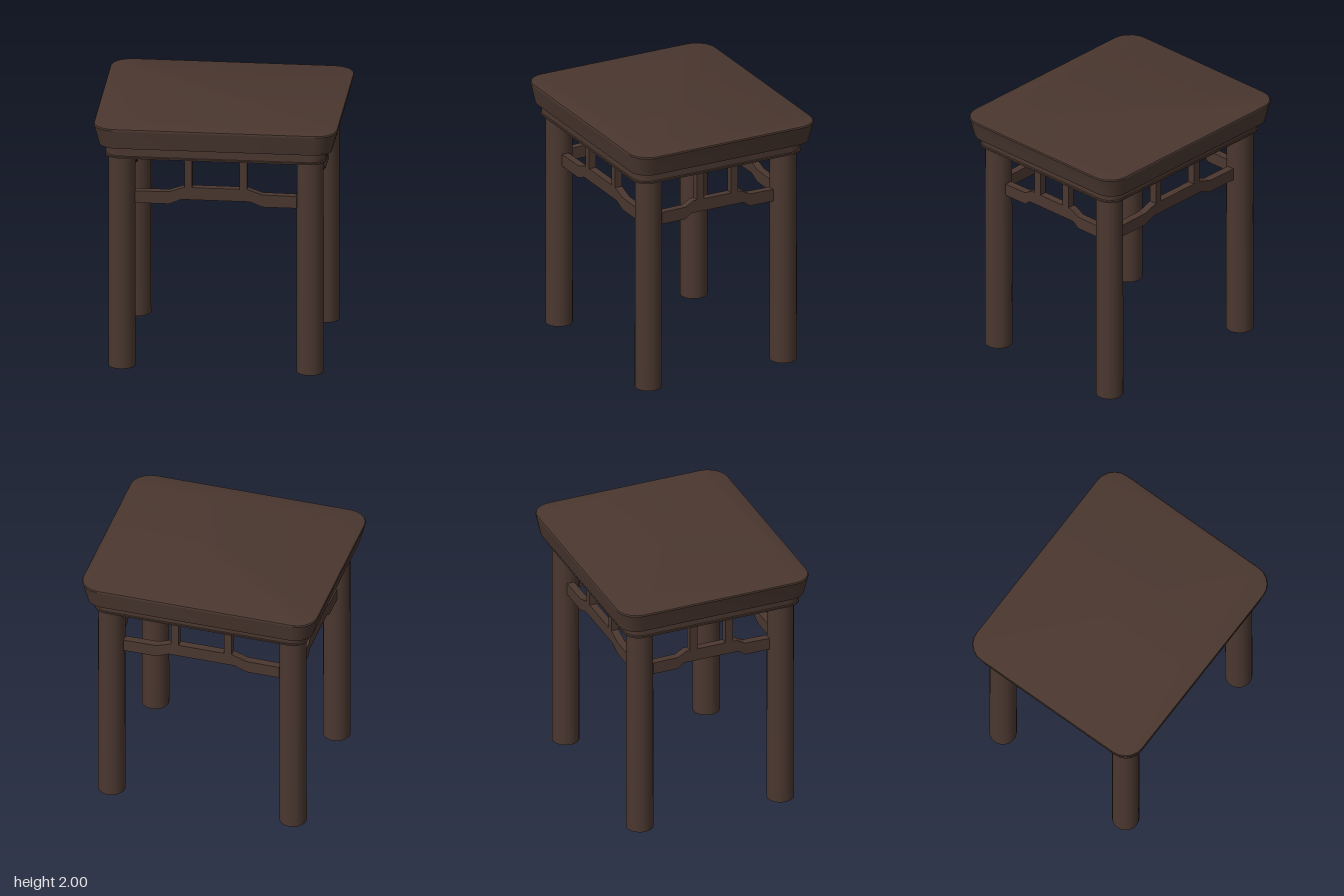
import * as THREE from 'three';
import { toCreasedNormals } from 'three/addons/utils/BufferGeometryUtils.js';

const CORNER_STEPS = 5;

// Outline of a rounded rectangle at height y
function ring(hx, hz, r, y) {
  const pts = [];
  const signs = [[1, 1], [-1, 1], [-1, -1], [1, -1]];
  signs.forEach(([sx, sz], q) => {
    for (let i = 0; i <= CORNER_STEPS; i++) {
      const a = (q + i / CORNER_STEPS) * Math.PI / 2;
      pts.push([sx * (hx - r) + r * Math.cos(a), y, sz * (hz - r) + r * Math.sin(a)]);
    }
  });
  return pts;
}

// Closed slab lofted through rings given from bottom to top
function slab(levels) {
  const rings = levels.map((l) => ring(...l));
  const n = rings[0].length;
  const pos = rings.flat(2);
  const index = [];
  for (let k = 0; k < rings.length - 1; k++) {
    for (let i = 0; i < n; i++) {
      const j = (i + 1) % n;
      const a = k * n + i, b = k * n + j, c = a + n, d = b + n;
      index.push(a, c, b, b, c, d);
    }
  }
  const last = (rings.length - 1) * n;
  for (let i = 1; i < n - 1; i++) {
    index.push(0, i, i + 1);
    index.push(last, last + i + 1, last + i);
  }
  const g = new THREE.BufferGeometry();
  g.setAttribute('position', new THREE.Float32BufferAttribute(pos, 3));
  g.setIndex(index);
  return toCreasedNormals(g, 0.6);
}

// Humped rail: straight ends, raised middle
function railGeometry(half, bend, crown, thick) {
  const upper = [[-half, 1.437], [-bend, 1.44], [-crown, 1.48], [crown, 1.48], [bend, 1.44], [half, 1.437]];
  const lower = [[half, 1.34], [bend, 1.34], [crown + 0.02, 1.38], [-crown - 0.02, 1.38], [-bend, 1.34], [-half, 1.34]];
  const shape = new THREE.Shape([...upper, ...lower].map(([x, y]) => new THREE.Vector2(x, y)));
  const g = new THREE.ExtrudeGeometry(shape, { depth: thick, bevelEnabled: false });
  g.translate(0, 0, -thick / 2);
  return g;
}

export function createModel() {
  const model = new THREE.Group();
  model.name = 'stool';
  const wood = new THREE.MeshStandardMaterial({ color: 0x4a372f });
  wood.name = 'dark wood';

  const add = (name, geometry, x = 0, y = 0, z = 0, parent = model) => {
    const m = new THREE.Mesh(geometry, wood);
    m.name = name;
    m.position.set(x, y, z);
    parent.add(m);
    return m;
  };

  // Flared seat with a softened upper edge
  add('seat', slab([
    [0.902, 0.767, 0.14, 1.83],
    [0.938, 0.793, 0.16, 1.97],
    [0.943, 0.796, 0.16, 1.985],
    [0.938, 0.792, 0.16, 1.995],
    [0.92, 0.775, 0.15, 2.0],
  ]));

  // Apron under the seat
  add('apron', slab([
    [0.856, 0.727, 0.12, 1.74],
    [0.856, 0.727, 0.12, 1.752],
    [0.85, 0.722, 0.12, 1.758],
    [0.85, 0.722, 0.12, 1.832],
  ]), 0, 0, 0.012);

  // Round legs
  const legX = 0.728, legZ = 0.588, midZ = 0.008;
  const legGeo = new THREE.CylinderGeometry(0.104, 0.106, 1.745, 28);
  for (const sx of [-1, 1]) {
    for (const sz of [-1, 1]) {
      add((sz > 0 ? 'front' : 'back') + (sx > 0 ? 'Left' : 'Right') + 'Leg',
        legGeo, sx * legX, 1.745 / 2, midZ + sz * legZ);
    }
  }

  // Humped rails, each carrying two short posts up to the apron
  const postGeo = new THREE.BoxGeometry(0.06, 0.29, 0.06);
  const addRail = (name, geometry, postOffset, x, z, turn) => {
    const group = new THREE.Group();
    group.name = name;
    group.position.set(x, 0, z);
    group.rotation.y = turn;
    add('rail', geometry, 0, 0, 0, group);
    for (const s of [-1, 1]) add('railPost', postGeo, s * postOffset, 1.6, 0, group);
    model.add(group);
  };
  const longRail = railGeometry(0.626, 0.36, 0.245, 0.06);
  const shortRail = railGeometry(0.486, 0.28, 0.21, 0.06);
  addRail('frontRail', longRail, 0.213, 0, midZ + legZ, 0);
  addRail('backRail', longRail, 0.213, 0, midZ - legZ, 0);
  addRail('leftRail', shortRail, 0.148, legX, midZ, Math.PI / 2);
  addRail('rightRail', shortRail, 0.148, -legX, midZ, Math.PI / 2);

  return model;
}
